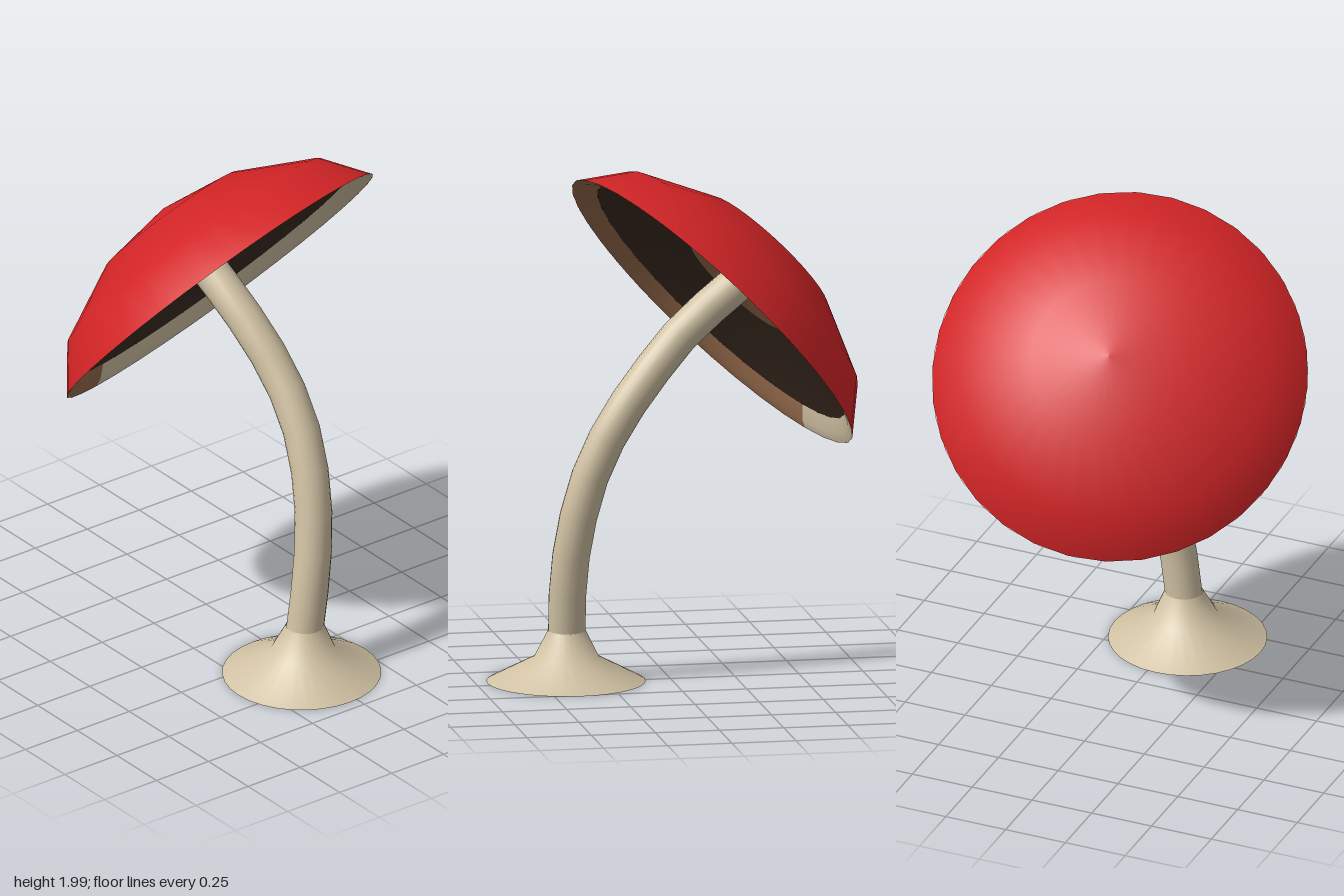
import * as THREE from 'three';

const material = (name, color) => {
  const m = new THREE.MeshStandardMaterial({ color, side: THREE.DoubleSide });
  m.name = name;
  return m;
};

export function createModel() {
  const red = material('cap red', 0xd22426);
  const beige = material('stem beige', 0xd0c1a3);
  const brown = material('lip brown', 0x966b4c);
  const dark = material('gill dark brown', 0x3a2a20);

  const model = new THREE.Group();
  model.name = 'mushroom';

  const add = (parent, name, geometry, mat) => {
    const mesh = new THREE.Mesh(geometry, mat);
    mesh.name = name;
    parent.add(mesh);
    return mesh;
  };
  const lathe = (profile, segments = 32, start = 0, length = Math.PI * 2) =>
    new THREE.LatheGeometry(profile.map(([r, y]) => new THREE.Vector2(r, y)), segments, start, length);

  // Flared hollow foot, leaning slightly toward the stem
  const foot = lathe([[0.305, 0], [0.125, 0.095], [0.073, 0.2]]);
  const p = foot.attributes.position;
  for (let i = 0; i < p.count; i++) p.setZ(i, p.getZ(i) - p.getY(i) * 0.08);
  foot.translate(0.4, 0, 0.035);
  add(model, 'foot', foot, beige);

  // Curved stem rising into the cap
  const path = new THREE.CatmullRomCurve3([
    [0.4, 0.18, 0.02], [0.4, 0.4, -0.01], [0.378, 0.6, -0.04], [0.33, 0.8, -0.06],
    [0.24, 1.0, -0.07], [0.12, 1.17, -0.057], [-0.05, 1.36, -0.015], [-0.28, 1.54, 0.03],
  ].map((v) => new THREE.Vector3(...v)));
  add(model, 'stem', new THREE.TubeGeometry(path, 10, 0.072, 20, false), beige);

  // Tilted cap frame: local y is the cap axis, local z stays close to world z
  const axis = new THREE.Vector3(-0.72, 0.667, 0.19).normalize();
  const zDir = new THREE.Vector3(0, 0, 1).addScaledVector(axis, -axis.z).normalize();
  const xDir = new THREE.Vector3().crossVectors(axis, zDir);
  const cap = new THREE.Group();
  cap.name = 'cap';
  cap.quaternion.setFromRotationMatrix(new THREE.Matrix4().makeBasis(xDir, axis, zDir));
  cap.position.set(-0.163, 1.428, 0);
  model.add(cap);

  add(cap, 'capDome', lathe([[0.725, 0], [0.6, 0.168], [0.308, 0.318], [0, 0.368]]), red);

  // Underside: lip in two colours, recessed gills and a brown centre
  const lip = [[0.64, 0.05], [0.69, 0.012], [0.725, 0]];
  const a = THREE.MathUtils.degToRad(100);
  const b = THREE.MathUtils.degToRad(293);
  add(cap, 'paleLip', lathe(lip, 18, a, b - a), beige);
  add(cap, 'brownLip', lathe(lip, 16, b, Math.PI * 2 + a - b), brown);
  add(cap, 'gills', lathe([[0.24, 0.14], [0.45, 0.105], [0.64, 0.05]]), dark);
  add(cap, 'gillCentre', lathe([[0, 0.155], [0.24, 0.14]]), brown);

  return model;
}
